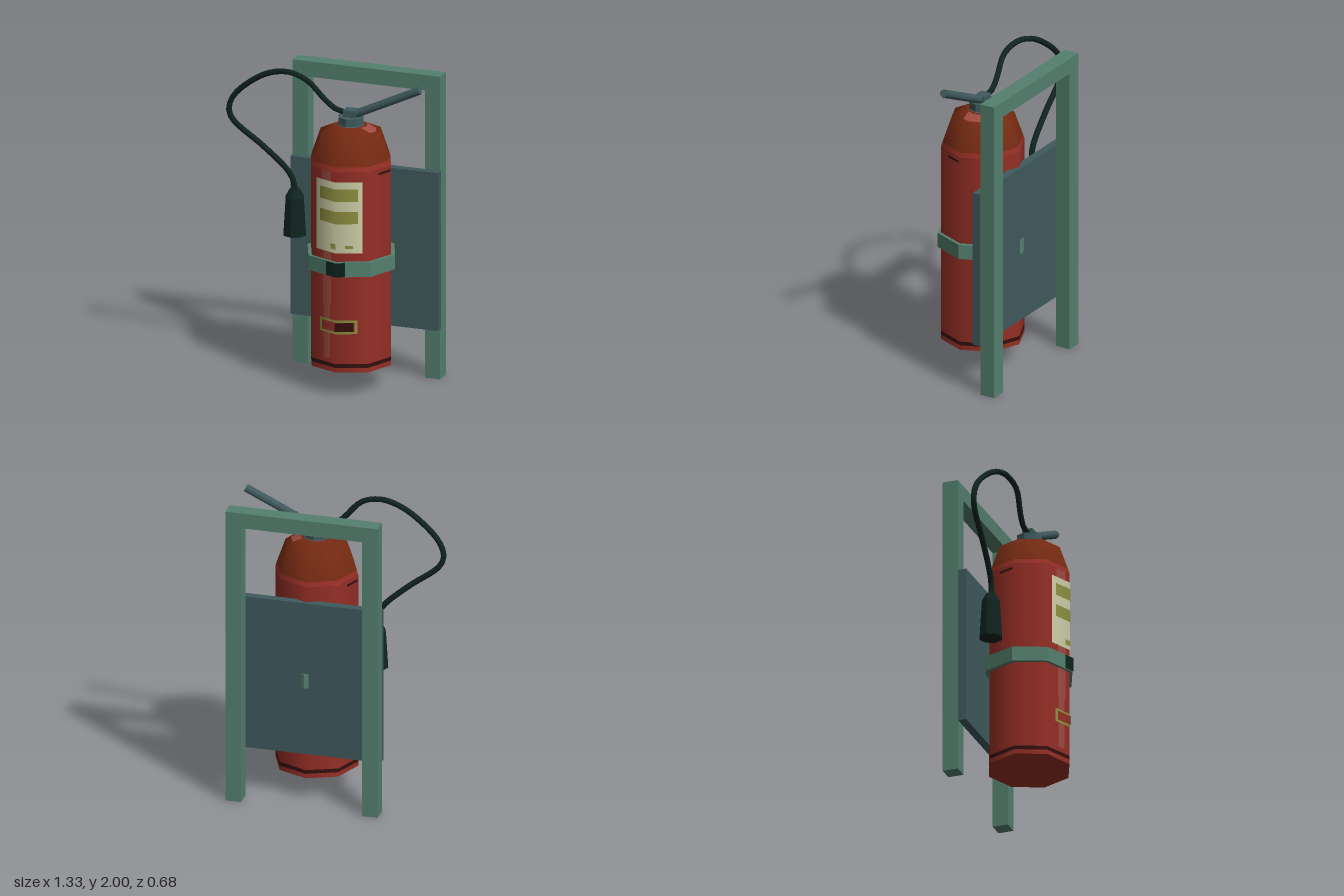
import * as THREE from 'three';

const mat = (name, color) => {
  const m = new THREE.MeshStandardMaterial({ color });
  m.name = name;
  return m;
};

export function createModel() {
  const red = mat('red paint', 0x962f26);
  const darkRed = mat('dark band', 0x35100e);
  const brown = mat('shoulder paint', 0x742a12);
  const green = mat('green frame', 0x54806f);
  const slate = mat('slate metal', 0x3f5a5d);
  const black = mat('black rubber', 0x10241f);
  const cream = mat('cream label', 0xcfd1a9);
  const olive = mat('olive print', 0x8f9140);
  const shine = mat('worn paint', 0x9f4a40);

  const model = new THREE.Group();
  model.name = 'fireExtinguisher';

  const add = (parent, name, geo, material, x = 0, y = 0, z = 0) => {
    const m = new THREE.Mesh(geo, material);
    m.name = name;
    m.position.set(x, y, z);
    parent.add(m);
    return m;
  };
  const flat = (geo) => {
    const g = geo.toNonIndexed();
    g.computeVertexNormals();
    return g;
  };
  const box = (parent, name, material, x0, x1, y0, y1, z0, z1) =>
    add(parent, name, new THREE.BoxGeometry(x1 - x0, y1 - y0, z1 - z0), material,
      (x0 + x1) / 2, (y0 + y1) / 2, (z0 + z1) / 2);
  const lathe = (pts) => new THREE.LatheGeometry(pts.map((p) => new THREE.Vector2(...p)), 8);

  // Stand: two posts, a top rail and the backing panel
  const stand = new THREE.Group();
  stand.name = 'stand';
  model.add(stand);
  box(stand, 'rightPost', green, -0.315, -0.215, 0, 1.965, -0.335, -0.235);
  box(stand, 'leftPost', green, 0.56, 0.66, 0, 1.965, -0.335, -0.235);
  box(stand, 'topRail', green, -0.215, 0.56, 1.865, 1.965, -0.335, -0.235);
  box(stand, 'backPanel', slate, -0.31, 0.665, 0.33, 1.355, -0.235, -0.182);

  // Eight-sided cylinder, with its vertices on the axes
  const R = 0.265;
  const tank = new THREE.Group();
  tank.name = 'tank';
  tank.position.set(0.18, 0, 0.05);
  model.add(tank);
  add(tank, 'tankBase', lathe([[R, 0.155], [R, 0.185]]), red);
  add(tank, 'baseBand', lathe([[R, 0.185], [R, 0.21]]), darkRed);
  add(tank, 'tankBody', lathe([[R, 0.21], [R, 1.455]]), red);
  add(tank, 'tankRim', lathe([[R, 1.455], [0.256, 1.485]]), red);
  add(tank, 'shoulder', lathe([[0.256, 1.485], [0.2, 1.645], [0.1, 1.69], [0, 1.695]]), brown);
  const bottom = add(tank, 'tankBottom', new THREE.CircleGeometry(R, 8), red, 0, 0.155, 0);
  bottom.rotation.x = Math.PI / 2;

  // Thin plate that follows the two faces beside one ridge of the octagon
  const plate = (name, material, x0, x1, y0, y1, { r0 = R, r1 = r0, lift = 0.003, turn = 0, tilt = 0 } = {}) => {
    const xs = x0 < 0 && x1 > 0 ? [x0, 0, x1] : [x0, x1];
    const pos = [], nor = [], idx = [];
    xs.forEach((x, i) => {
      [[r0, y0], [r1, y1]].forEach(([r, y]) => {
        const z = r + lift - 0.4142 * Math.abs(x);
        const n = new THREE.Vector3(x, tilt * r, z).normalize();
        pos.push(x, y, z);
        nor.push(n.x, n.y, n.z);
      });
      if (i) {
        const b = 2 * i - 2;
        idx.push(b, b + 2, b + 3, b, b + 3, b + 1);
      }
    });
    const g = new THREE.BufferGeometry();
    g.setAttribute('position', new THREE.Float32BufferAttribute(pos, 3));
    g.setAttribute('normal', new THREE.Float32BufferAttribute(nor, 3));
    g.setIndex(idx);
    add(tank, name, g, material).rotation.y = turn;
  };

  // Worn streak down the front and a patch on the shoulder
  plate('wornStreakTop', shine, -0.11, -0.035, 1.39, 1.45, { lift: 0.002 });
  plate('wornStreakMiddle', shine, -0.1, -0.035, 0.58, 0.93, { lift: 0.002 });
  plate('wornStreakLow', shine, -0.095, -0.045, 0.24, 0.58, { lift: 0.002 });
  plate('shoulderPatch', shine, -0.05, 0.07, 1.662, 1.689,
    { r0: 0.16, r1: 0.1, lift: 0.006, turn: Math.PI / 2, tilt: 2 });

  // Main label with printed lines
  plate('label', cream, -0.15, 0.155, 0.93, 1.39, { lift: 0.004 });
  for (const y of [1.265, 1.12]) plate('labelPrint', olive, -0.12, 0.13, y, y + 0.08, { lift: 0.006 });
  plate('labelMark', olive, -0.04, 0, 0.955, 0.99, { lift: 0.006 });
  plate('labelMark', olive, 0.055, 0.1, 0.96, 0.98, { lift: 0.006 });

  // Small lower tag
  plate('tagBorder', olive, -0.12, 0.125, 0.405, 0.495, { lift: 0.004 });
  plate('tagField', red, -0.105, 0.11, 0.42, 0.48, { lift: 0.006 });
  plate('tagPlate', darkRed, -0.005, 0.105, 0.422, 0.478, { lift: 0.008 });

  // Short scuffs below the shoulder
  for (const turn of [Math.PI / 2, -Math.PI / 2]) {
    plate('scuff', darkRed, -0.11, -0.01, 1.415, 1.43, { turn });
  }

  // Strap and buckle
  const strap = flat(lathe([[0.256, 0.78], [0.29, 0.78], [0.29, 0.875], [0.256, 0.875], [0.256, 0.78]]));
  add(tank, 'strap', strap, green, 0, 0, -0.005);
  plate('buckle', black, -0.065, 0.06, 0.782, 0.873, { r0: 0.29, lift: 0 });

  // Valve: flared collar, nut and block
  const cyl = (name, rt, rb, y0, y1) =>
    add(tank, name, flat(new THREE.CylinderGeometry(rt, rb, y1 - y0, 8)), slate, 0, (y0 + y1) / 2, 0);
  cyl('collar', 0.07, 0.103, 1.678, 1.705);
  cyl('valveNut', 0.083, 0.083, 1.69, 1.742);
  box(tank, 'valveBlock', slate, -0.04, 0.04, 1.74, 1.785, -0.035, 0.035);

  // Sloping lever
  const a = new THREE.Vector3(0.18, 1.745, 0.05);
  const b = new THREE.Vector3(0.635, 1.96, 0.05);
  const lever = add(model, 'lever',
    new THREE.CylinderGeometry(0.026, 0.026, a.distanceTo(b), 8), slate);
  lever.position.copy(a).lerp(b, 0.5);
  lever.quaternion.setFromUnitVectors(new THREE.Vector3(0, 1, 0), b.clone().sub(a).normalize());

  // Hose through a few bends
  const path = new THREE.CatmullRomCurve3([
    [0.16, 1.76, 0.05], [0.08, 1.775, 0.048], [0.01, 1.83, 0.055], [-0.1, 1.945, 0.072],
    [-0.22, 1.982, 0.06], [-0.33, 1.968, 0.045], [-0.45, 1.912, 0.027], [-0.61, 1.775, 0.003],
    [-0.648, 1.68, -0.004], [-0.625, 1.61, -0.01], [-0.43, 1.455, -0.025], [-0.28, 1.32, -0.038],
    [-0.24, 1.255, -0.043], [-0.228, 1.17, -0.05],
  ].map((p) => new THREE.Vector3(...p)), false, 'centripetal');
  add(model, 'hose', new THREE.TubeGeometry(path, 40, 0.018, 8), black);

  // Discharge horn
  const horn = lathe([[0, 0.895], [0.075, 0.895], [0.06, 1.14], [0.032, 1.192], [0, 1.195]]);
  add(model, 'horn', flat(horn), black, -0.23, 0, -0.05);

  return model;
}
